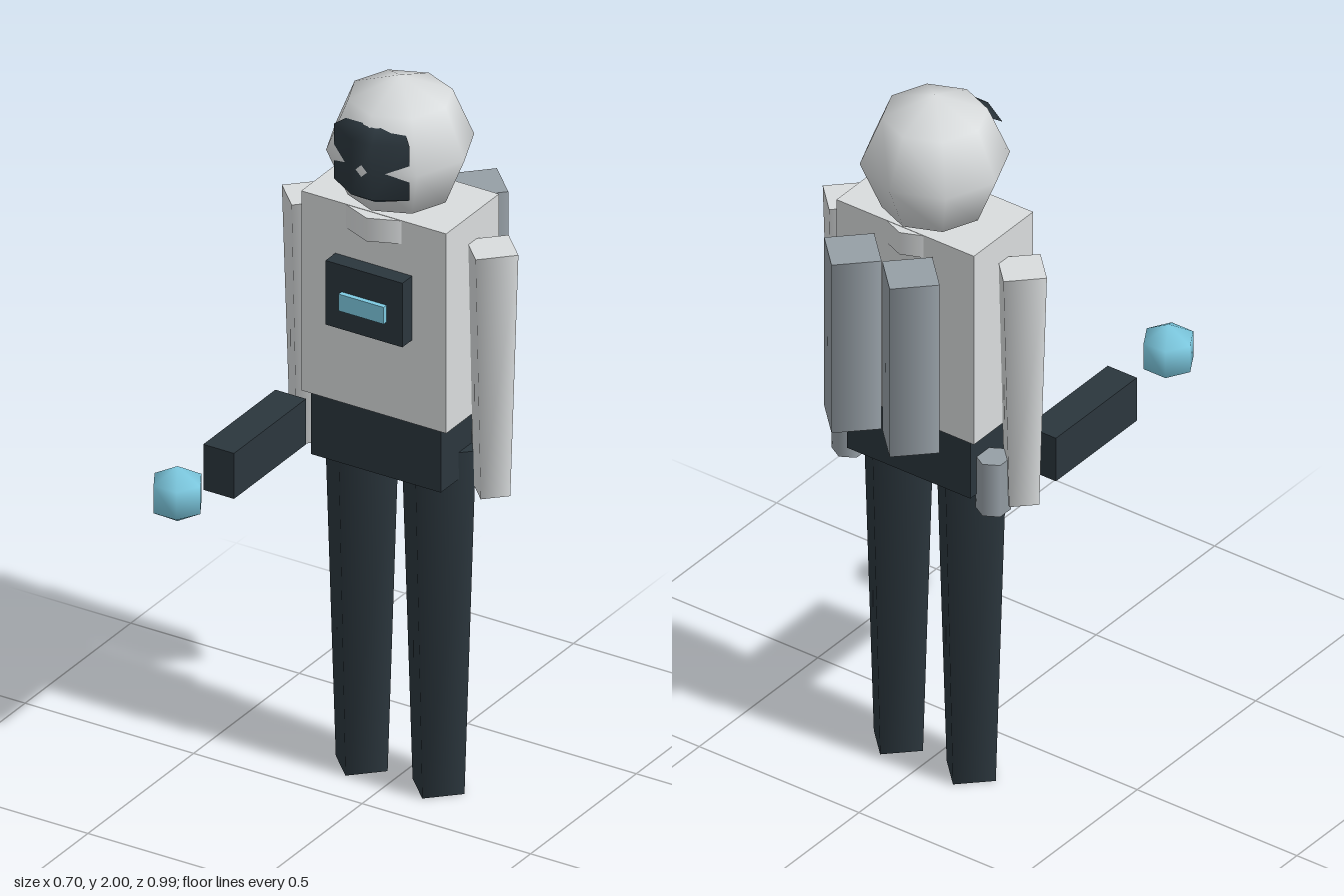
import * as THREE from 'three';

export function createModel() {
  const model = new THREE.Group();
  const mat = (name, color) => new THREE.MeshStandardMaterial({ name, color });
  const suit = mat('suit white', 0xd9dcdd);
  const dark = mat('charcoal', 0x2b363d);
  const steel = mat('tank grey', 0x969fa6);
  const glow = mat('light blue', 0x7ecbe2);

  const add = (name, geometry, material, x, y, z) => {
    const mesh = new THREE.Mesh(geometry, material);
    mesh.name = name;
    mesh.position.set(x, y, z);
    model.add(mesh);
    return mesh;
  };
  // box given by its low and high limits on each axis
  const box = (name, material, [x0, x1], [y0, y1], [z0, z1]) =>
    add(name, new THREE.BoxGeometry(x1 - x0, y1 - y0, z1 - z0), material,
      (x0 + x1) / 2, (y0 + y1) / 2, (z0 + z1) / 2);
  // upright few-sided column between two heights
  const column = (name, material, x, z, y0, y1, rBottom, rTop, sides = 4) =>
    add(name, new THREE.CylinderGeometry(rTop, rBottom, y1 - y0, sides), material,
      x, (y0 + y1) / 2, z);

  const Z = -0.18;

  // body
  box('torso', suit, [-0.215, 0.215], [1.094, 1.664], [-0.305, -0.055]);
  box('hips', dark, [-0.193, 0.193], [0.914, 1.094], [-0.29, -0.065]);
  column('collar', suit, 0, -0.175, 1.597, 1.663, 0.154, 0.154, 8);
  add('head', new THREE.SphereGeometry(0.191, 8, 4), suit, 0, 1.809, Z);

  // chest unit
  box('chestPanel', dark, [-0.114, 0.114], [1.332, 1.515], [-0.06, -0.009]);
  box('chestScreen', glow, [-0.067, 0.067], [1.391, 1.439], [-0.012, 0.005]);

  // limbs, belt canisters and back tanks
  for (const [side, s] of [['left', 1], ['right', -1]]) {
    column(side + 'Arm', suit, s * 0.273, Z, 0.89, 1.585, 0.054, 0.078);
    column(side + 'Leg', dark, s * 0.114, Z, 0, 0.99, 0.077, 0.111);
    column(side + 'Canister', steel, s * 0.225, -0.237, 0.87, 1.026, 0.045, 0.045, 6);
    column(side + 'Tank', steel, s * 0.091, -0.403, 1.108, 1.616, 0.09, 0.09);
  }

  // hand tool and its floating light
  box('handTool', dark, [-0.32, -0.229], [0.915, 1.045], [-0.1, 0.241]);
  add('lightOrb', new THREE.SphereGeometry(0.0785, 6, 3), glow, -0.275, 1.006, 0.435);

  // visor: curved plate that dips into the head around its middle
  const rows = [[-0.105, 0.6, -0.04], [-0.078, 1, 0], [0.078, 1, 0], [0.105, 0.6, -0.04]];
  const cols = [[-0.112, -0.045], [-0.03, 0.004], [0.03, 0.004], [0.112, -0.045]];
  const pos = [], index = [];
  for (const [y, scale, dz] of rows)
    for (const [x, z] of cols) pos.push(x * scale, y, z + dz);
  for (let r = 0; r < 3; r++)
    for (let c = 0; c < 3; c++) {
      const a = r * 4 + c;
      index.push(a, a + 1, a + 5, a, a + 5, a + 4);
    }
  const visor = new THREE.BufferGeometry();
  visor.setAttribute('position', new THREE.Float32BufferAttribute(pos, 3));
  visor.setIndex(index);
  visor.computeVertexNormals();
  add('visor', visor, dark, 0, 1.812, 0);

  return model;
}
